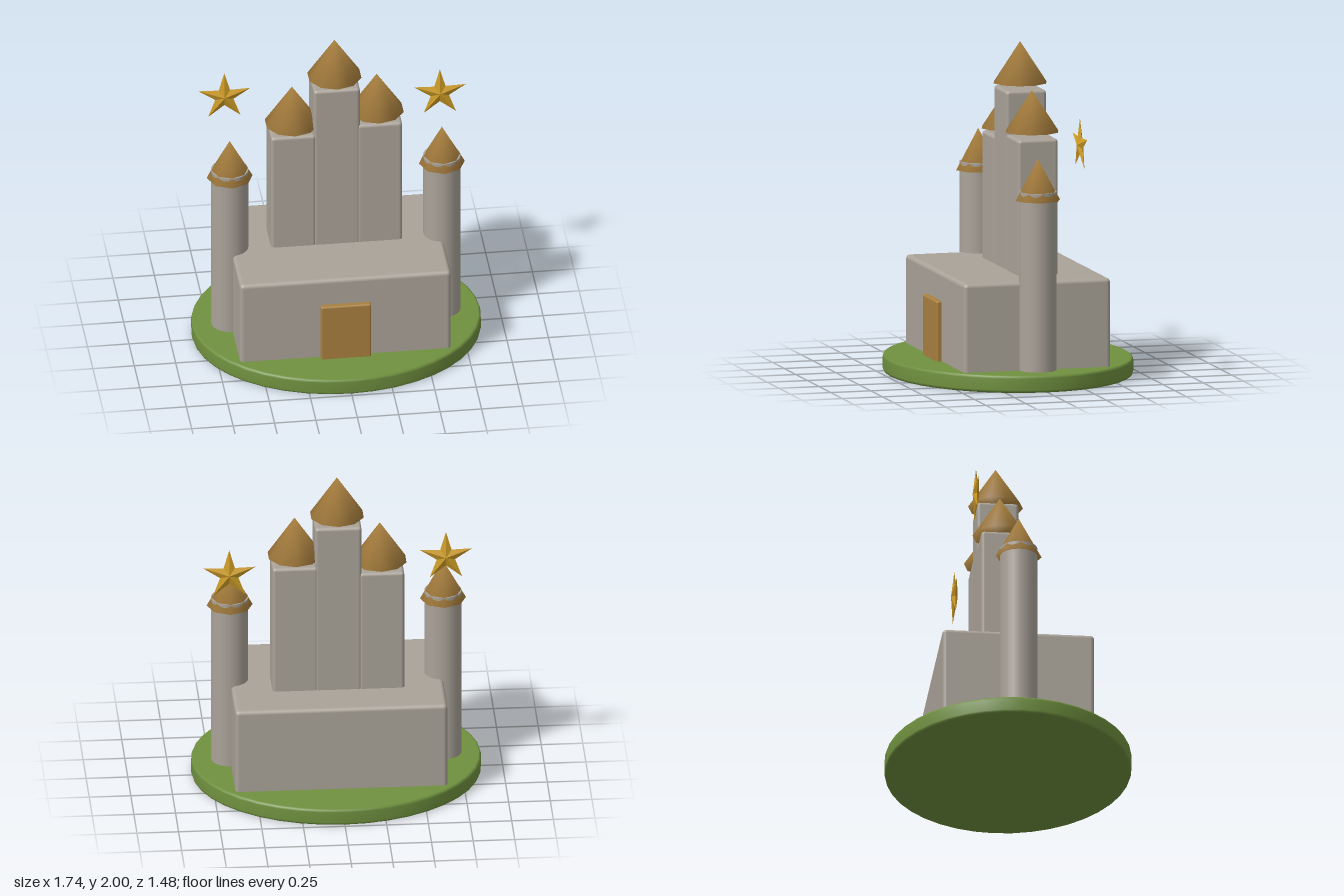
import * as THREE from 'three';
import { RoundedBoxGeometry } from 'three/addons/geometries/RoundedBoxGeometry.js';
import { mergeVertices } from 'three/addons/utils/BufferGeometryUtils.js';

const material = (name, color, extra = {}) => {
  const m = new THREE.MeshStandardMaterial({ color, ...extra });
  m.name = name;
  return m;
};

// Box given by its lower and upper corners, with softened edges
function block([x0, y0, z0], [x1, y1, z1], radius) {
  const geo = new RoundedBoxGeometry(x1 - x0, y1 - y0, z1 - z0, 3, radius);
  return geo.translate((x0 + x1) / 2, (y0 + y1) / 2, (z0 + z1) / 2);
}

// Closed cone roof with normals blended over the apex and the rim
function roof(radius, height, sides) {
  const cone = new THREE.ConeGeometry(radius, height, sides);
  cone.deleteAttribute('uv');
  cone.deleteAttribute('normal');
  const geo = mergeVertices(cone, 1e-4);
  geo.computeVertexNormals();
  return geo.translate(0, height / 2, 0);
}

// Five-pointed star with a raised centre on both faces
function starGeometry(outer, inner, depth) {
  const rim = [];
  for (let i = 0; i < 10; i++) {
    const a = Math.PI / 2 + (i * Math.PI) / 5;
    const r = i % 2 ? inner : outer;
    rim.push([r * Math.cos(a), r * Math.sin(a), 0]);
  }
  const points = [];
  rim.forEach((p, i) => {
    const q = rim[(i + 1) % 10];
    points.push(...p, ...q, 0, 0, depth, ...q, ...p, 0, 0, -depth);
  });
  const geo = new THREE.BufferGeometry();
  geo.setAttribute('position', new THREE.Float32BufferAttribute(points, 3));
  geo.computeVertexNormals();
  return geo;
}

export function createModel() {
  const stone = material('stone', 0xaaa399);
  const wood = material('brown', 0xa9803f);
  const grass = material('grass', 0x70913f);
  const gold = material('gold', 0xd2a028);

  const group = new THREE.Group();
  const add = (name, geo, mat, x = 0, y = 0, z = 0) => {
    const mesh = new THREE.Mesh(geo, mat);
    mesh.name = name;
    mesh.position.set(x, y, z);
    group.add(mesh);
    return mesh;
  };

  // Oval lawn with a softened rim
  const profile = [[0, 0], [0.855, 0], [0.866, 0.006], [0.87, 0.018],
    [0.87, 0.087], [0.866, 0.099], [0.855, 0.105], [0, 0.105]];
  const lawn = new THREE.LatheGeometry(profile.map(([x, y]) => new THREE.Vector2(x, y)), 40);
  add('lawn', lawn, grass).scale.z = 0.85;

  // Main hall and door
  add('hall', block([-0.637, 0.08, -0.457], [0.637, 0.64, 0.457], 0.025), stone);
  add('door', block([-0.153, 0.09, 0.44], [0.151, 0.47, 0.49], 0.012), wood);

  // Three square towers, each with a roof floating just above
  const towers = [
    ['left', 0.122, 0.395, 1.46, 0.255, 1.49],
    ['centre', -0.14, 0.14, 1.72, 0, 1.75],
    ['right', -0.397, -0.127, 1.41, -0.257, 1.44],
  ];
  for (const [side, x0, x1, top, roofX, roofY] of towers) {
    add(`${side}Tower`, block([x0, 0.6, -0.2], [x1, top, 0.05], 0.02), stone);
    add(`${side}TowerRoof`, roof(0.165, 0.25, 10), wood, roofX, roofY, -0.075);
  }

  // Round side turrets, roofs and stars
  const sides = [['left', 0.639, 0.66, 1.46], ['right', -0.642, -0.641, 1.536]];
  for (const [side, x, starX, starY] of sides) {
    add(`${side}Turret`, new THREE.CylinderGeometry(0.112, 0.112, 1.085, 32), stone, x, 0.6425);
    add(`${side}TurretRoof`, roof(0.138, 0.25, 8), wood, x, 1.133);
    add(`${side}Star`, starGeometry(0.166, 0.058, 0.02), gold, starX, starY, -0.257);
  }
  return group;
}
